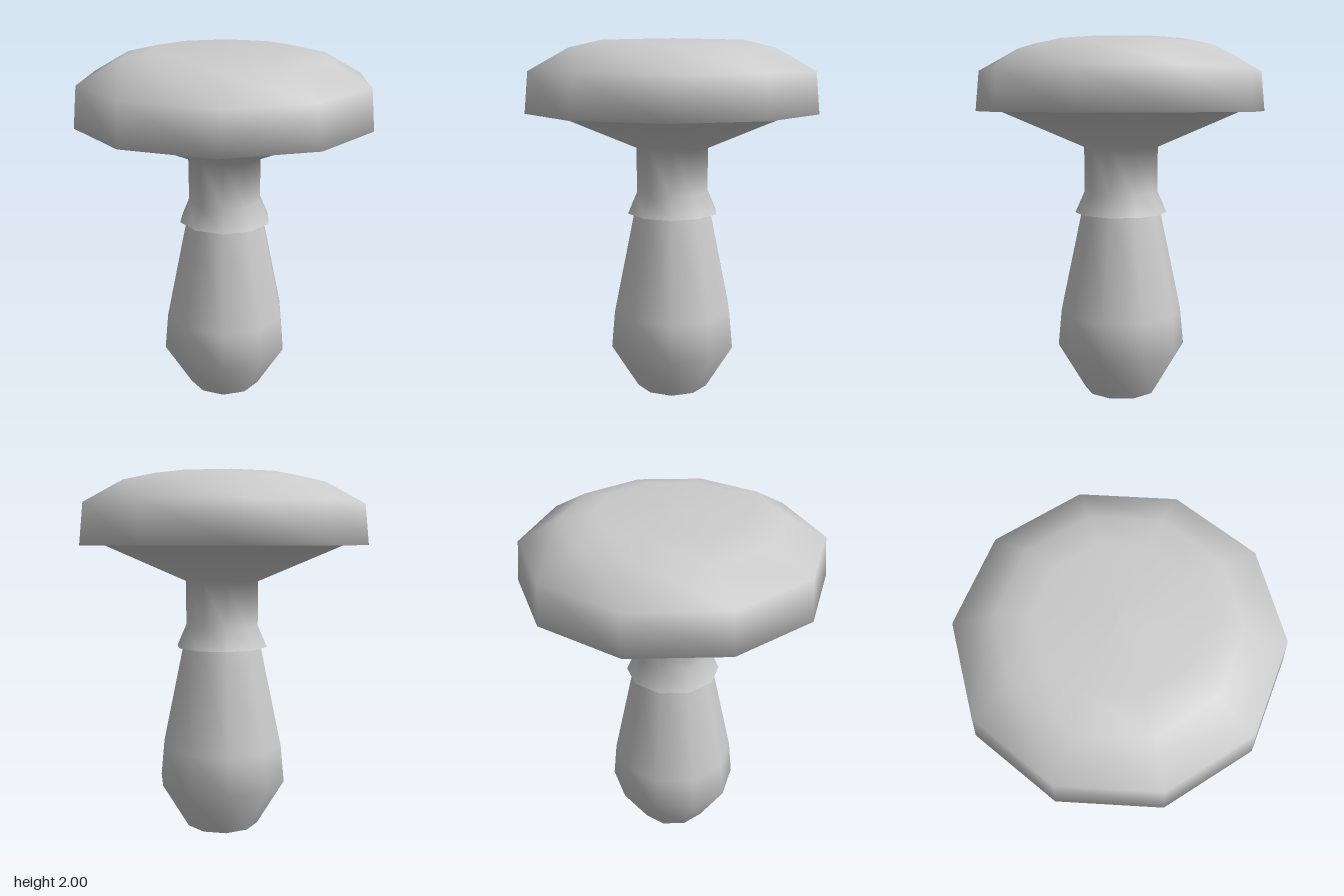
import * as THREE from 'three';

const SIDES = 10;
const material = new THREE.MeshStandardMaterial({ color: 0xcccccc });
const thinMaterial = new THREE.MeshStandardMaterial({ color: 0xcccccc, side: THREE.DoubleSide });

// Ten-sided smooth lathe; keeps only profile rows first..last so that
// neighbouring parts still share their normals along the seam.
function lathePart(name, profile, first = 0, last = profile.length - 1, mat = material) {
  const geometry = new THREE.LatheGeometry(profile.map(([r, y]) => new THREE.Vector2(r, y)), SIDES);
  const n = profile.length;
  const index = [];
  for (let s = 0; s < SIDES; s++) {
    for (let j = first; j < last; j++) {
      const a = s * n + j, b = a + n;
      index.push(a, b, a + 1);
      if (profile[j + 1][0] > 0) index.push(b + 1, a + 1, b);
    }
  }
  geometry.setIndex(index);
  const mesh = new THREE.Mesh(geometry, mat);
  mesh.name = name;
  return mesh;
}

export function createModel() {
  const group = new THREE.Group();
  group.name = 'mushroom';

  // Bulging lower stalk, running up inside the skirt
  group.add(lathePart('stalk', [[0.21, 0], [0.365, 0.26], [0.345, 0.47], [0.225, 1.04], [0.205, 1.16]]));

  // Flat foot
  const foot = new THREE.Mesh(new THREE.CircleGeometry(0.21, SIDES, Math.PI / 2).rotateX(Math.PI / 2), material);
  foot.name = 'foot';
  group.add(foot);

  // Skirt, neck, gills and cap follow one continuous profile
  const upper = [
    [0.26, 1.04], [0.207, 1.16], [0.208, 1.41], // skirt and neck
    [0.677, 1.61], [0.81, 1.61],                // gills and flat rim
    [0.787, 1.83], [0.57, 1.95], [0.395, 1.99], [0, 2], // cap
  ];
  group.add(
    lathePart('skirt', upper, 0, 1, thinMaterial),
    lathePart('neck', upper, 1, 2),
    lathePart('gills', upper, 2, 3),
    lathePart('cap', upper, 3, 8),
  );
  return group;
}
